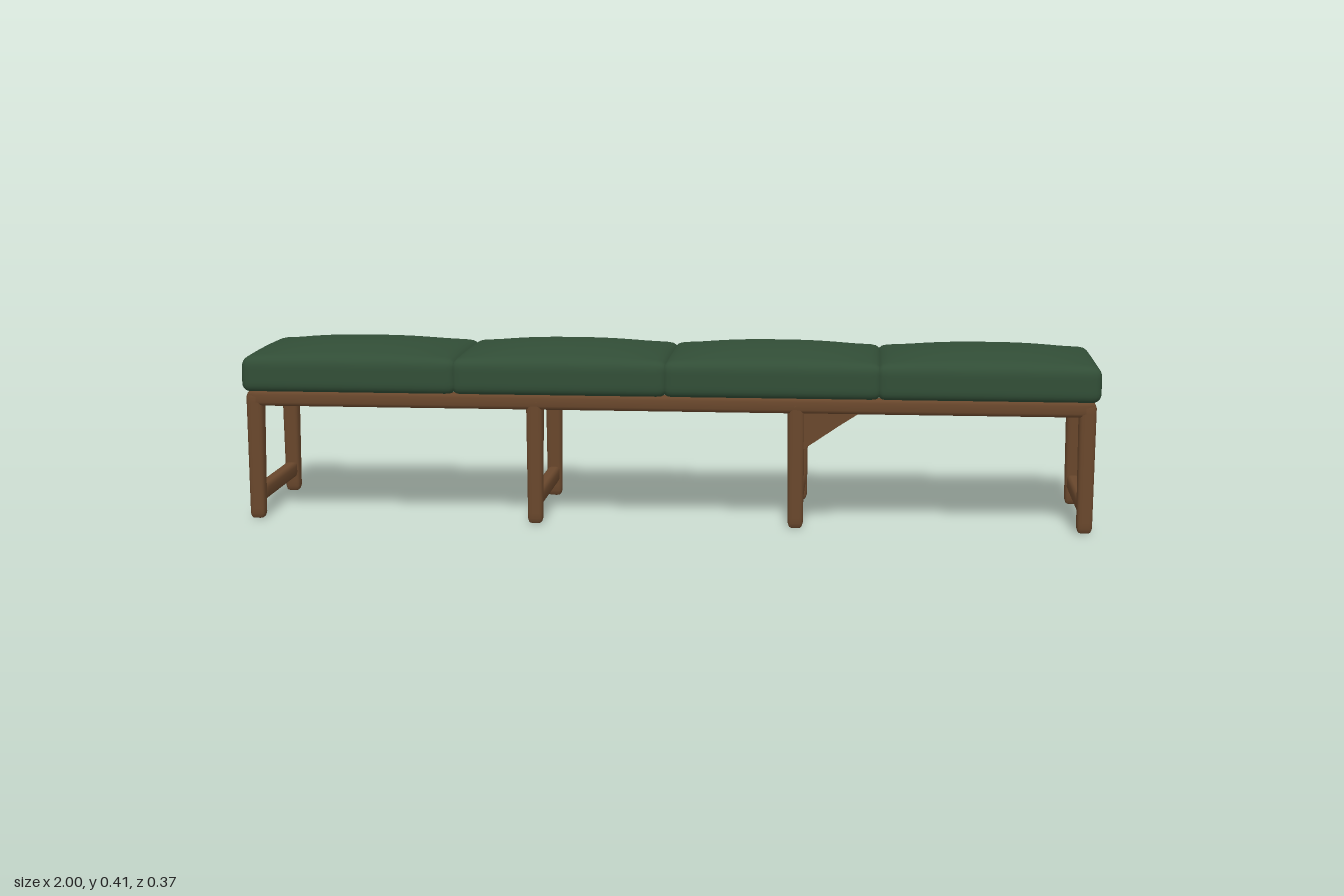
import * as THREE from 'three';
import { mergeVertices } from 'three/addons/utils/BufferGeometryUtils.js';

const green = new THREE.MeshStandardMaterial({ color: 0x314d36 });
green.name = 'green upholstery';
const wood = new THREE.MeshStandardMaterial({ color: 0x69472c });
wood.name = 'walnut wood';

// Smooth rounded box; rule(p) may move each vertex afterwards
function softBox(size, segs, radius, rule) {
  let g = new THREE.BoxGeometry(...size, ...segs);
  g.deleteAttribute('normal');
  g.deleteAttribute('uv');
  g = mergeVertices(g);
  const inner = new THREE.Vector3(...size).multiplyScalar(0.5).subScalar(radius);
  const low = inner.clone().negate();
  const pos = g.attributes.position;
  const p = new THREE.Vector3(), core = new THREE.Vector3();
  for (let i = 0; i < pos.count; i++) {
    p.fromBufferAttribute(pos, i);
    core.copy(p).clamp(low, inner);
    p.sub(core);
    if (p.lengthSq() > 0) p.setLength(radius);
    p.add(core);
    if (rule) rule(p);
    pos.setXYZ(i, p.x, p.y, p.z);
  }
  g.computeVertexNormals();
  return g;
}

export function createModel() {
  const model = new THREE.Group();
  model.name = 'bench';
  const add = (name, geometry, material, x, y, z) => {
    const mesh = new THREE.Mesh(geometry, material);
    mesh.name = name;
    mesh.position.set(x, y, z);
    model.add(mesh);
    return mesh;
  };

  // Four crowned seat cushions
  const seams = [-1, -0.495, 0, 0.495, 1];
  for (let i = 0; i < 4; i++) {
    const x0 = seams[i] - (i > 0 ? 0.006 : 0);
    const x1 = seams[i + 1] + (i < 3 ? 0.006 : 0);
    const w = x1 - x0, h = 0.084, d = 0.374;
    const crown = (p) => {
      const u = Math.min(1, Math.abs(p.x) / (w / 2));
      const v = Math.min(1, Math.abs(p.z) / (d / 2));
      const lift = THREE.MathUtils.clamp((p.y + h / 2) / h, 0, 1);
      p.y += 0.026 * lift * (1 - u ** 2.6) * (1 - v ** 2.2);
      // Sides draw in slightly towards the top
      p.z *= 1 - 0.02 * lift;
    };
    add('cushion', softBox([w, h, d], [40, 10, 32], 0.022, crown), green,
      (x0 + x1) / 2, 0.304 + h / 2, 0);
  }

  // Long front and back rails, and the two end rails
  for (const s of [1, -1]) {
    add('longRail', softBox([1.97, 0.036, 0.036], [100, 4, 4], 0.008), wood, 0, 0.29, s * 0.163);
    add('endRail', softBox([0.036, 0.04, 0.34], [4, 4, 20], 0.008), wood, s * 0.97, 0.289, 0);
  }

  // Four leg frames: tapered front and back legs joined by a low stretcher
  for (const x of [-0.97, -0.305, 0.305, 0.97]) {
    for (const s of [1, -1]) {
      const taper = (p) => {
        const t = THREE.MathUtils.clamp(p.y / 0.305 + 0.5, 0, 1);
        p.x *= 0.88 + 0.12 * t;
        // The outer face stays upright while the inner face slopes
        const outer = 0.02;
        p.z = s * (outer - (outer - s * p.z) * (0.82 + 0.22 * t));
      };
      add('leg', softBox([0.04, 0.305, 0.04], [6, 24, 6], 0.012, taper), wood, x, 0.1535, s * 0.161);
    }
    add('stretcher', softBox([0.03, 0.037, 0.31], [4, 4, 16], 0.009), wood, x, 0.058, 0);
  }

  // Corner brace beside one front leg
  const brace = new THREE.Shape();
  brace.moveTo(0.31, 0.18);
  brace.lineTo(0.325, 0.19);
  brace.lineTo(0.405, 0.245);
  brace.lineTo(0.49, 0.3);
  brace.lineTo(0.31, 0.3);
  add('cornerBrace', new THREE.ExtrudeGeometry(brace, { depth: 0.022, bevelEnabled: false }),
    wood, 0, 0, 0.152);

  return model;
}
